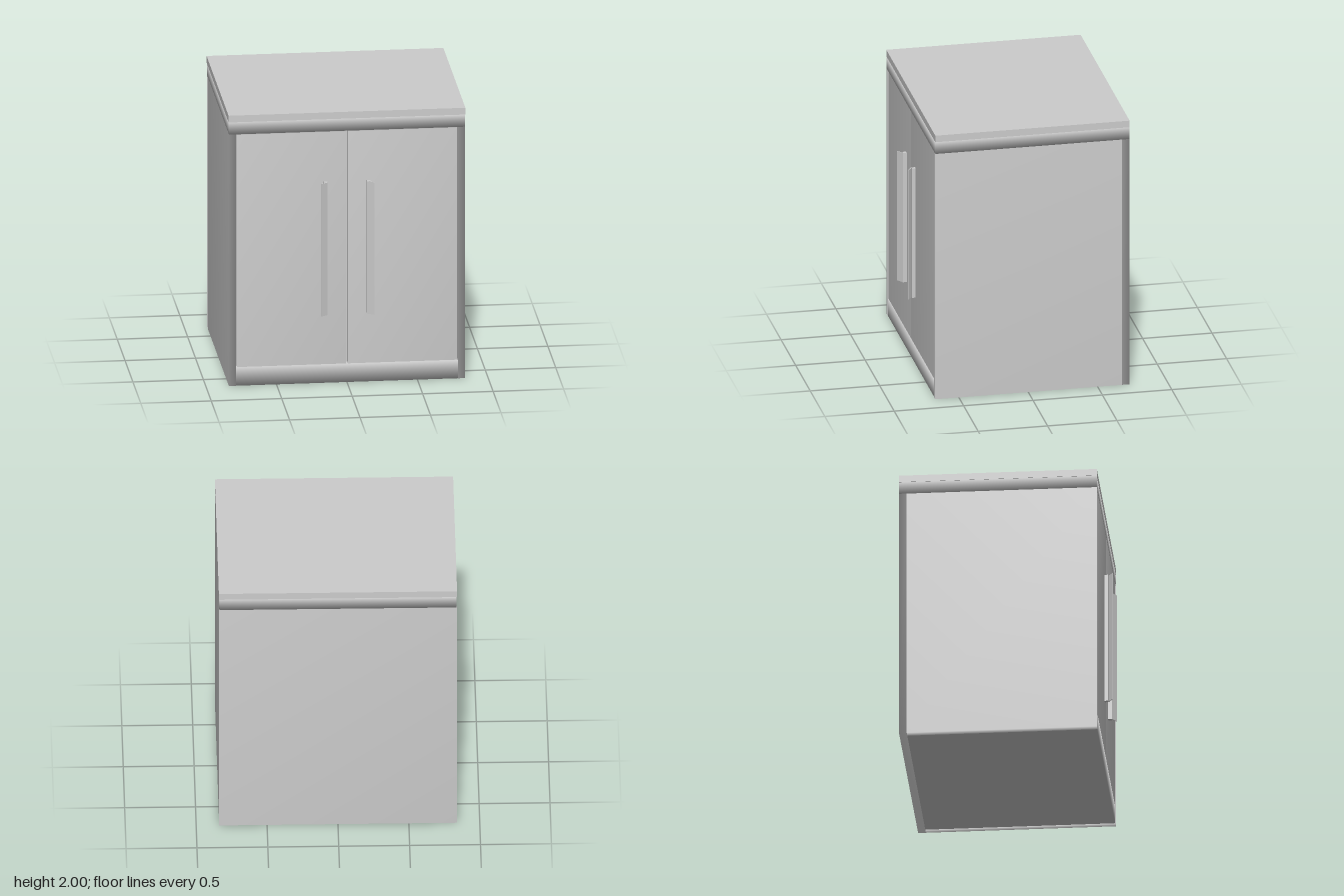
import * as THREE from 'three';
import { mergeVertices } from 'three/addons/utils/BufferGeometryUtils.js';

const material = new THREE.MeshStandardMaterial({ color: 0xcccccc });

// Box given by its limits; soft boxes share corner normals, so thin edges shade as rounded.
function panel(name, [x0, x1], [y0, y1], [z0, z1], soft = true) {
  let geometry = new THREE.BoxGeometry(x1 - x0, y1 - y0, z1 - z0);
  if (soft) {
    geometry.deleteAttribute('normal');
    geometry.deleteAttribute('uv');
    geometry = mergeVertices(geometry);
    geometry.computeVertexNormals();
  }
  geometry.translate((x0 + x1) / 2, (y0 + y1) / 2, (z0 + z1) / 2);
  const mesh = new THREE.Mesh(geometry, material);
  mesh.name = name;
  return mesh;
}

// Upright bar with a thin flange slanting outwards, extruded along y.
function handle(name, side) {
  const points = [
    [0.14, 0.67], [0.165, 0.67], [0.165, 0.695], [0.148, 0.695],
    [0.19, 0.727], [0.188, 0.73], [0.14, 0.698],
  ].map(([x, z]) => new THREE.Vector2(side * x, -z));
  const geometry = new THREE.ExtrudeGeometry(new THREE.Shape(points), { depth: 0.98, bevelEnabled: false });
  geometry.rotateX(-Math.PI / 2);
  geometry.translate(0, 0.51, 0);
  const mesh = new THREE.Mesh(geometry, material);
  mesh.name = name;
  return mesh;
}

export function createModel() {
  const group = new THREE.Group();
  group.name = 'cabinet';

  // Carcass
  group.add(
    panel('leftSide', [0.787, 0.838], [0, 1.86], [-0.675, 0.67]),
    panel('rightSide', [-0.838, -0.787], [0, 1.86], [-0.675, 0.67]),
    panel('backPanel', [-0.838, 0.838], [0, 1.86], [-0.73, -0.675]),
    panel('base', [-0.787, 0.787], [0, 0.132], [-0.675, 0.668]),
    panel('interior', [-0.787, 0.787], [0.132, 1.86], [-0.675, 0.61], false)
  );

  // Worktop: lower trim board and upper slab
  group.add(
    panel('worktopTrim', [-0.837, 0.837], [1.86, 1.95], [-0.729, 0.669]),
    panel('worktop', [-0.84, 0.84], [1.95, 2], [-0.73, 0.67], false)
  );

  // Doors and handles
  group.add(
    panel('leftDoor', [0.007, 0.779], [0.138, 1.855], [0.62, 0.669]),
    panel('rightDoor', [-0.779, -0.007], [0.138, 1.855], [0.62, 0.669]),
    handle('leftHandle', 1),
    handle('rightHandle', -1)
  );

  return group;
}
